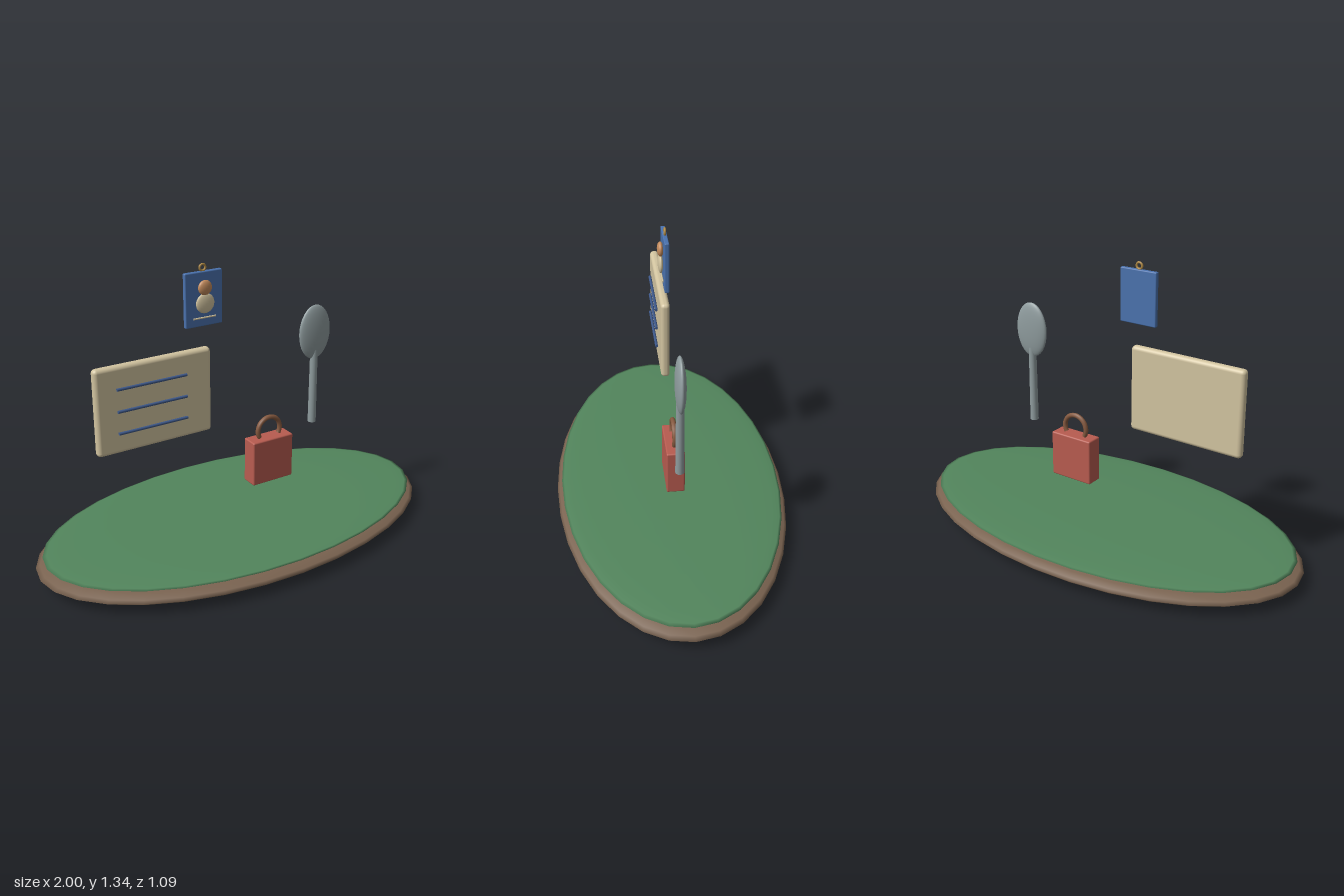
import * as THREE from 'three';
import { RoundedBoxGeometry } from 'three/addons/geometries/RoundedBoxGeometry.js';

const paint = (color) => new THREE.MeshStandardMaterial({ color });
const brown = paint(0x7a6350), green = paint(0x52855c), cream = paint(0xd2c4a0);
const navy = paint(0x3f5a8c), blue = paint(0x4a72ae), red = paint(0xb85c50);
const leather = paint(0x85593f), steel = paint(0x8f9c9e), brass = paint(0xb08a45), skin = paint(0xc28a5c);

export function createModel() {
  const model = new THREE.Group();

  const add = (parent, name, geometry, material, x, y, z) => {
    const mesh = new THREE.Mesh(geometry, material);
    mesh.name = name;
    mesh.position.set(x, y, z);
    parent.add(mesh);
    return mesh;
  };
  const ellipsoid = (rx, ry, rz, w = 32, h = 16) => new THREE.SphereGeometry(1, w, h).scale(rx, ry, rz);
  const bar = (length, radius) => new THREE.CylinderGeometry(radius, radius, length, 8).rotateZ(Math.PI / 2);
  const group = (name) => {
    const g = new THREE.Group();
    g.name = name;
    model.add(g);
    return g;
  };

  // Oval base: brown body with a thinner green top
  const base = group('base');
  add(base, 'baseBody', ellipsoid(1, 0.058, 0.546), brown, 0, 0.058, 0);
  add(base, 'baseTop', ellipsoid(0.967, 0.018, 0.522), green, 0, 0.105, 0);

  // Floating note board with three raised lines
  const note = group('noteBoard');
  add(note, 'board', new RoundedBoxGeometry(0.555, 0.395, 0.042, 3, 0.018), cream, -0.428, 0.768, 0);
  for (const y of [0.867, 0.767, 0.667]) add(note, 'noteLine', bar(0.33, 0.007), navy, -0.445, y, 0.03);

  // Badge with a portrait, caption bar and hanging ring
  const badge = group('badge');
  add(badge, 'card', new RoundedBoxGeometry(0.182, 0.24, 0.021, 2, 0.005), blue, -0.177, 1.183, 0);
  add(badge, 'portraitHead', ellipsoid(0.033, 0.033, 0.015, 20, 14), skin, -0.177, 1.235, 0.02);
  add(badge, 'portraitBody', ellipsoid(0.045, 0.044, 0.012, 20, 14), cream, -0.177, 1.167, 0.02);
  add(badge, 'caption', bar(0.108, 0.004), cream, -0.177, 1.102, 0.014);
  add(badge, 'ring', new THREE.TorusGeometry(0.014, 0.005, 8, 20), brass, -0.177, 1.318, 0);

  // Bag with a horseshoe handle
  const bag = group('bag');
  add(bag, 'bagBody', new RoundedBoxGeometry(0.222, 0.221, 0.083, 2, 0.007), red, 0.172, 0.343, 0);
  const arc = Math.PI * 4 / 3;
  const grip = add(bag, 'bagHandle', new THREE.TorusGeometry(0.061, 0.0115, 10, 32, arc), leather, 0.172, 0.488, 0);
  grip.rotation.z = (Math.PI - arc) / 2;

  // Upright spoon
  const spoon = group('spoon');
  add(spoon, 'spoonBowl', ellipsoid(0.087, 0.132, 0.023), steel, 0.423, 0.925, 0);
  add(spoon, 'spoonHandle', new THREE.CylinderGeometry(0.018, 0.02, 0.37, 16), steel, 0.423, 0.655, 0);

  return model;
}
